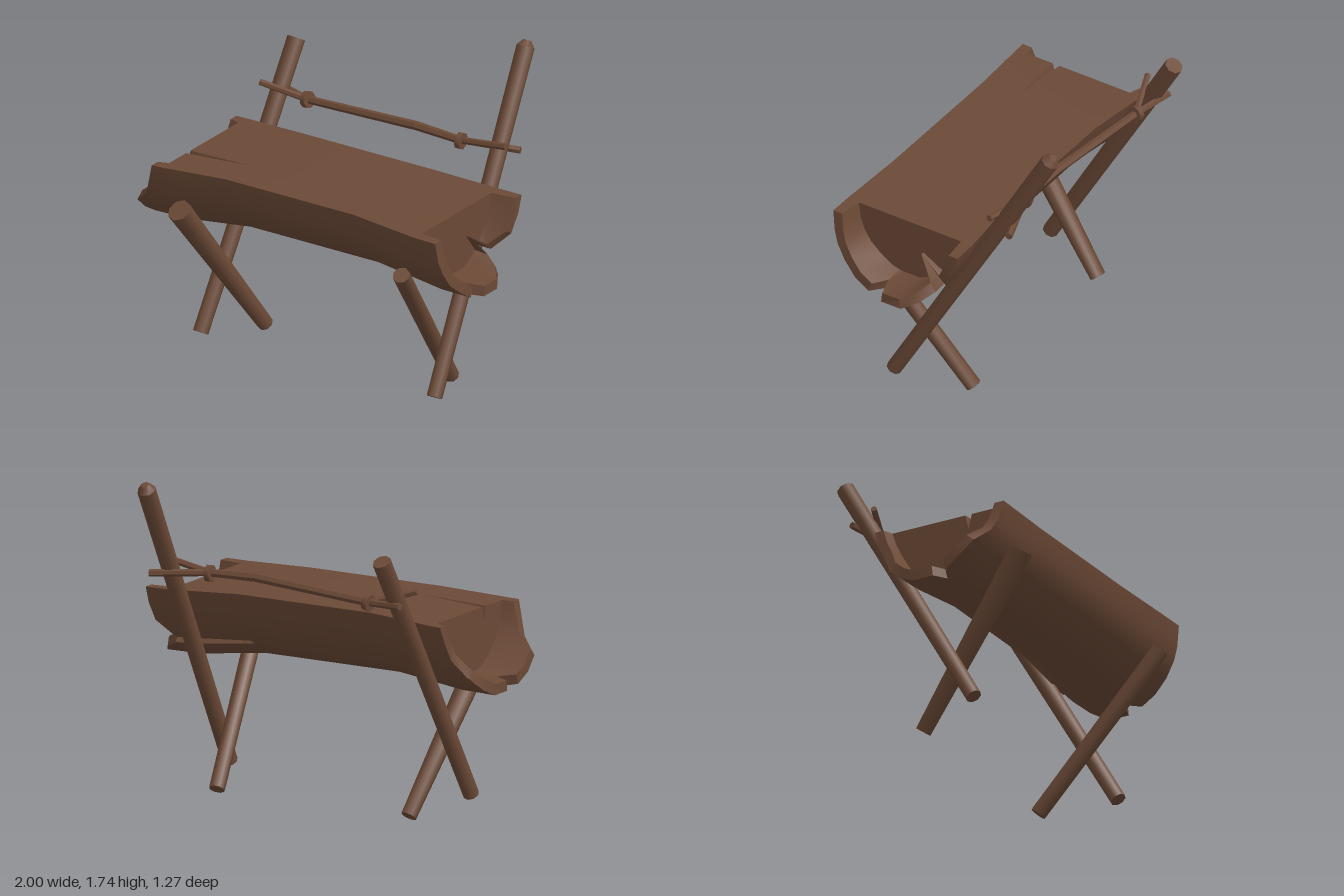
import * as THREE from 'three';
import { toCreasedNormals } from 'three/addons/utils/BufferGeometryUtils.js';

const wood = new THREE.MeshStandardMaterial({ color: 0x6b4936, side: THREE.DoubleSide });
wood.name = 'brown wood';

// Half-log outline, front lip to back lip: z, y, left end x, right end x
const OUTLINE = [
  [0.59, 1.09, -0.84, 0.93], [0.575, 0.98, -0.87, 0.94], [0.55, 0.91, -0.9, 0.95],
  [0.5, 0.83, -0.99, 0.96], [0.42, 0.76, -1, 0.98], [0.34, 0.71, -0.99, 0.98],
  [0.29, 0.695, -0.9, 0.89], [0.25, 0.69, -0.98, 1], [0.13, 0.69, -0.98, 1],
  [0.05, 0.73, -0.96, 0.95], [0, 0.77, -0.94, 0.87], [-0.02, 0.79, -0.93, 0.82],
  [-0.045, 0.81, -0.92, 0.84], [-0.1, 0.9, -0.86, 0.93], [-0.15, 1, -0.85, 0.94],
  [-0.18, 1.09, -0.84, 0.94],
];
const LAST = OUTLINE.length - 1;
const CRACK = 11; // outline point pulled inwards to split the right end
const STATIONS = [-0.78, -0.4, 0, 0.4, 0.8];

const flare = (x) => THREE.MathUtils.clamp((Math.abs(x) - 0.4) / 0.42, 0, 1);
const topY = (x) => 1.108 - 0.02 * flare(x);

// Point on the log skin; shrink < 1 gives the hollow inside the ends
function skin(j, x, shrink = 1) {
  const k = (0.92 + 0.08 * flare(x)) * shrink;
  let z = 0.2 + (OUTLINE[j][0] - 0.2) * k;
  let y = topY(x) + (OUTLINE[j][1] - 1.09) * k;
  if (j === CRACK && x > 0.4) {
    const t = Math.min((x - 0.4) / 0.4, 1);
    z = THREE.MathUtils.lerp(skinEnd(j)[0], 0.12, t);
    y = THREE.MathUtils.lerp(skinEnd(j)[1], 0.93, t);
  }
  return [x, y, z];
}
function skinEnd(j) {
  const [x, y, z] = skin(j, 0.4);
  return [z, y, x];
}

function buildLog() {
  const pos = [];
  const tri = (a, b, c, flip) => pos.push(...a, ...(flip ? c : b), ...(flip ? b : c));
  const quad = (a, b, c, d, flip) => { tri(a, b, c, flip); tri(a, c, d, flip); };

  // Rounded outside
  for (let j = 0; j < LAST; j++) {
    const row = (n) => [OUTLINE[n][2], ...STATIONS, OUTLINE[n][3]].map((x) => skin(n, x));
    const a = row(j), b = row(j + 1);
    for (let i = 0; i < a.length - 1; i++) quad(a[i], b[i], b[i + 1], a[i + 1]);
  }

  // Flat seat with a tapering split at the left end
  const deck = STATIONS.map((x, i) => {
    const w = i === 0 ? 0.02 : 0, y = topY(x);
    return [skin(0, x), [x, y, 0.345 + w], [x, y - w * 4, 0.345], [x, y, 0.345 - w], skin(LAST, x)];
  });
  for (let i = 0; i < deck.length - 1; i++) {
    for (let c = 0; c < 4; c++) quad(deck[i][c], deck[i + 1][c], deck[i + 1][c + 1], deck[i][c + 1]);
  }

  // Hollowed, broken ends: rim, inner wall, lips and recessed face
  for (const right of [false, true]) {
    const capX = right ? 0.8 : -0.78, flip = !right;
    const outer = [], inner = [], cap = [];
    for (let j = 0; j <= LAST; j++) {
      const x = OUTLINE[j][right ? 3 : 2];
      outer.push(skin(j, x));
      inner.push(skin(j, x, 0.86));
      cap.push(skin(j, capX, 0.82));
    }
    for (let j = 0; j < LAST; j++) {
      quad(outer[j], outer[j + 1], inner[j + 1], inner[j], flip);
      quad(inner[j], inner[j + 1], cap[j + 1], cap[j], flip);
    }
    for (const j of [0, LAST]) {
      quad(outer[j], inner[j], cap[j], skin(j, capX), (j === LAST) !== flip);
    }
    const loop = right ? cap : [...cap, ...deck[0].slice(1, 4).reverse()];
    const centre = right ? [capX, 1, 0.2] : [capX, 0.9, 0.35];
    loop.forEach((p, n) => tri(p, loop[(n + 1) % loop.length], centre, flip));
  }

  const geo = new THREE.BufferGeometry();
  geo.setAttribute('position', new THREE.Float32BufferAttribute(pos, 3));
  return toCreasedNormals(geo, 0.55);
}

// Tapered round pole between two points
function pole(name, from, to, r0, r1, sides = 8) {
  const a = new THREE.Vector3(...from), b = new THREE.Vector3(...to);
  const dir = b.clone().sub(a);
  const geo = new THREE.CylinderGeometry(r1, r0, dir.length(), sides);
  const mesh = new THREE.Mesh(toCreasedNormals(geo, 0.9), wood);
  mesh.name = name;
  mesh.position.copy(a).add(b).multiplyScalar(0.5);
  mesh.quaternion.setFromUnitVectors(new THREE.Vector3(0, 1, 0), dir.normalize());
  return mesh;
}

export function createModel() {
  const model = new THREE.Group();
  model.name = 'logBench';

  const seat = new THREE.Mesh(buildLog(), wood);
  seat.name = 'logSeat';
  model.add(seat);

  // Crossed supports
  model.add(
    pole('rightBackPost', [-0.71, 0.09, 0.335], [-0.66, 1.47, -0.46], 0.042, 0.049),
    pole('leftBackPost', [0.75, 0.09, 0.335], [0.685, 1.71, -0.585], 0.042, 0.049),
    pole('leftPostTip', [0.685, 1.71, -0.585], [0.684, 1.74, -0.602], 0.049, 0.022),
    pole('rightFrontLeg', [-0.57, 0.035, -0.05], [-0.665, 0.88, 0.595], 0.042, 0.064),
    pole('leftFrontLeg', [0.59, 0.035, -0.05], [0.725, 0.865, 0.6], 0.042, 0.046),
  );

  // Back rail: a bent stick with forked, bound ends gripping the posts
  const rail = new THREE.Group();
  rail.name = 'backRail';
  const a = [-0.5, 1.21, -0.33], mid = [0.2, 1.25, -0.297], b = [0.48, 1.24, -0.292];
  rail.add(
    pole('railLong', a, mid, 0.021, 0.024, 6),
    pole('railShort', mid, b, 0.024, 0.021, 6),
    pole('rightFrontProng', a, [-0.74, 1.28, -0.245], 0.018, 0.017, 6),
    pole('rightBackProng', a, [-0.725, 1.225, -0.385], 0.018, 0.019, 6),
    pole('leftFrontProng', b, [0.78, 1.285, -0.27], 0.018, 0.018, 6),
    pole('leftBackProng', b, [0.785, 1.222, -0.395], 0.018, 0.02, 6),
    pole('rightBinding', [-0.515, 1.208, -0.332], [-0.485, 1.212, -0.328], 0.045, 0.045),
    pole('leftBinding', [0.467, 1.237, -0.292], [0.497, 1.236, -0.294], 0.045, 0.045),
  );
  model.add(rail);
  return model;
}
